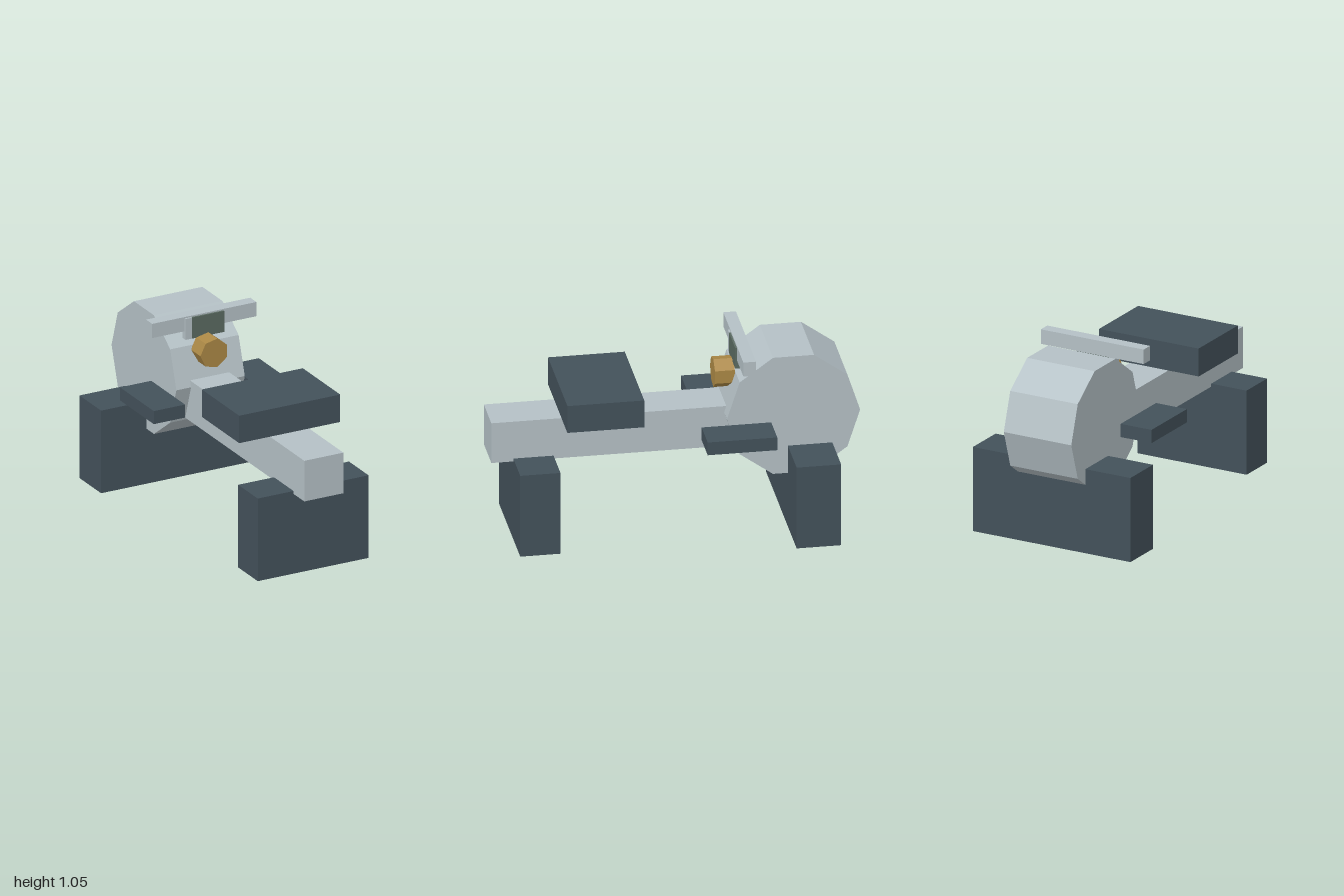
import * as THREE from 'three';

const paint = (name, color) => {
  const m = new THREE.MeshStandardMaterial({ color });
  m.name = name;
  return m;
};

export function createModel() {
  const model = new THREE.Group();
  model.name = 'rowingMachine';

  const slate = paint('darkSlate', 0x43515a);
  const silver = paint('silverGrey', 0xb4c0c5);
  const brass = paint('brass', 0xab8845);
  const glass = paint('screenGreen', 0x5a6a61);

  const add = (name, geometry, material) => {
    const mesh = new THREE.Mesh(geometry, material);
    mesh.name = name;
    model.add(mesh);
    return mesh;
  };

  // Box given by its limits on each axis
  const block = (name, material, [x0, x1], [y0, y1], [z0, z1]) =>
    add(name, new THREE.BoxGeometry(x1 - x0, y1 - y0, z1 - z0), material)
      .position.set((x0 + x1) / 2, (y0 + y1) / 2, (z0 + z1) / 2);

  // Rail and sliding seat
  block('rail', silver, [-0.12, 0.12], [0.465, 0.702], [-0.45, 1]);
  block('seat', slate, [-0.31, 0.31], [0.703, 0.863], [0.197, 0.617]);

  // Floor stands
  block('frontStand', slate, [-0.34, 0.34], [0, 0.482], [0.66, 0.88]);
  block('rearStand', slate, [-0.49, 0.49], [0, 0.482], [-0.848, -0.605]);

  // Footrests either side of the flywheel
  block('leftFootrest', slate, [0.234, 0.426], [0.564, 0.64], [-0.51, -0.13]);
  block('rightFootrest', slate, [-0.426, -0.234], [0.564, 0.64], [-0.51, -0.13]);

  // Ten-sided flywheel housing, axle along x
  const wheel = new THREE.CylinderGeometry(0.364, 0.364, 0.42, 10).toNonIndexed();
  wheel.rotateZ(Math.PI / 2);
  wheel.computeVertexNormals();
  add('flywheelHousing', wheel, silver).position.set(0, 0.666, -0.636);

  // Seven-sided knob facing the seat
  const knob = new THREE.CylinderGeometry(0.085, 0.085, 0.108, 7, 1, false, -Math.PI / 2).toNonIndexed();
  knob.rotateX(Math.PI / 2);
  knob.computeVertexNormals();
  add('knob', knob, brass).position.set(0, 0.855, -0.284);

  // Handle bar with the display under it
  block('handleBar', silver, [-0.32, 0.32], [0.967, 1.05], [-0.412, -0.343]);
  block('display', glass, [-0.08, 0.118], [0.92, 1.042], [-0.37, -0.333]);
  block('displayEdge', silver, [-0.12, -0.08], [0.92, 1.042], [-0.37, -0.333]);

  return model;
}
